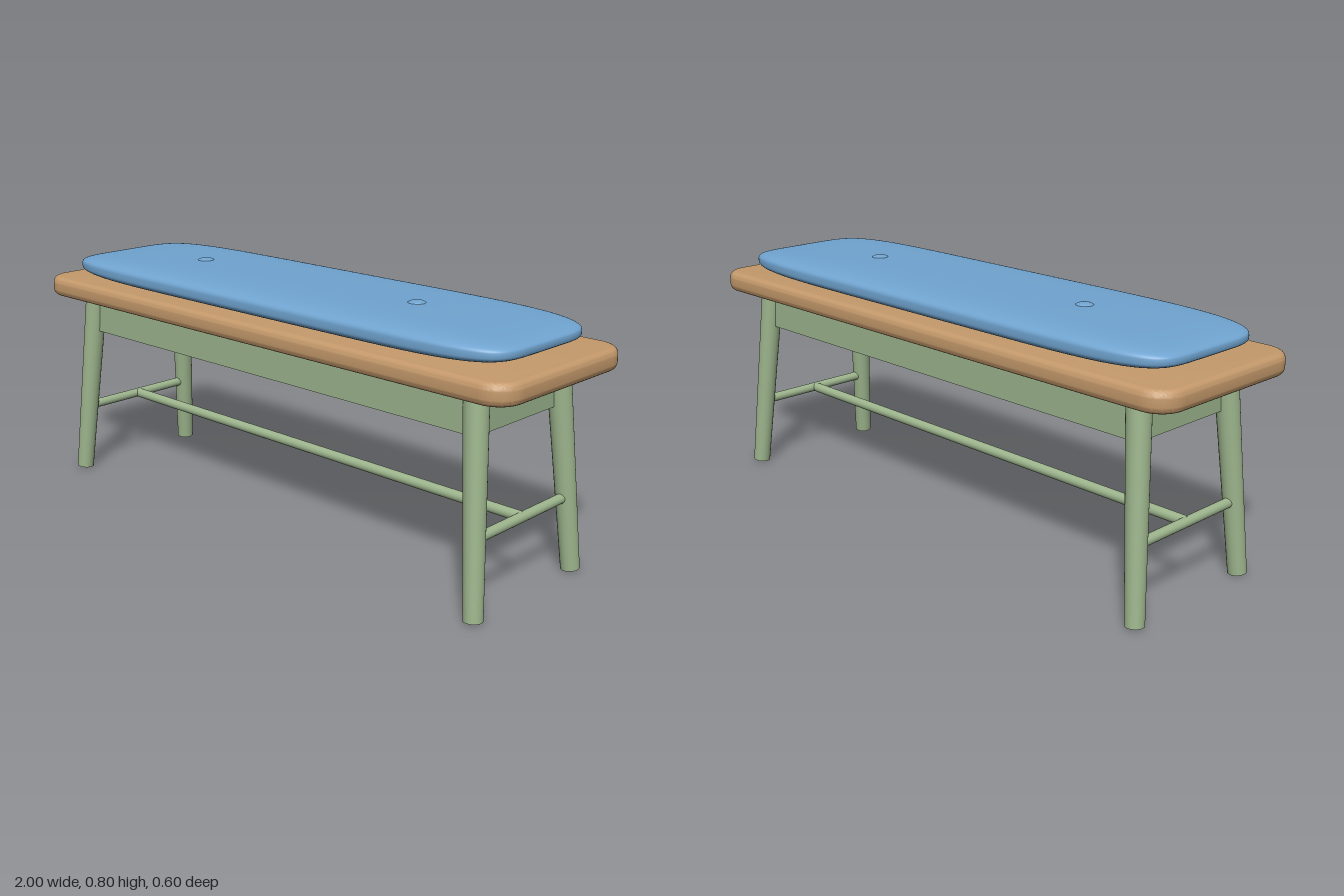
import * as THREE from 'three';
import { mergeVertices, toCreasedNormals } from 'three/addons/utils/BufferGeometryUtils.js';

const material = (name, color) => {
  const m = new THREE.MeshStandardMaterial({ color });
  m.name = name;
  return m;
};

// Rounded rectangular slab with softly rolled edges, lying flat
function slabGeometry(width, depth, bottom, height, corner, roll) {
  const x = width / 2 - roll, z = depth / 2 - roll, r = corner - roll;
  const s = new THREE.Shape();
  s.absarc(x - r, z - r, r, 0, Math.PI / 2);
  s.absarc(-x + r, z - r, r, Math.PI / 2, Math.PI);
  s.absarc(-x + r, -z + r, r, Math.PI, Math.PI * 1.5);
  s.absarc(x - r, -z + r, r, Math.PI * 1.5, Math.PI * 2);
  const geo = new THREE.ExtrudeGeometry(s, {
    depth: height - 2 * roll, bevelSize: roll, bevelThickness: roll, bevelSegments: 6, curveSegments: 12,
  });
  geo.rotateX(-Math.PI / 2).translate(0, bottom + roll, 0);
  return toCreasedNormals(geo, 0.7);
}

// Pillow: a sphere squared off in plan and, less strongly, in section
function pillowGeometry(halfX, halfY, halfZ, planPower, sectionPower) {
  const geo = new THREE.SphereGeometry(1, 128, 64);
  const p = geo.attributes.position;
  const bend = (v, n) => Math.sign(v) * Math.pow(Math.abs(v), 2 / n);
  for (let i = 0; i < p.count; i++) {
    const r = Math.hypot(p.getX(i), p.getZ(i));
    const c = r > 1e-6 ? p.getX(i) / r : 0, s = r > 1e-6 ? p.getZ(i) / r : 0;
    const ring = r > 1e-6 ? bend(r, sectionPower) : 0;
    p.setXYZ(i,
      halfX * ring * bend(c, planPower),
      halfY * bend(p.getY(i), sectionPower),
      halfZ * ring * bend(s, planPower));
  }
  geo.deleteAttribute('uv');
  geo.deleteAttribute('normal');
  const merged = mergeVertices(geo, 1e-5);
  merged.computeVertexNormals();
  return merged;
}

export function createModel() {
  const group = new THREE.Group();
  const wood = material('warm wood', 0xc4996b);
  const paint = material('sage paint', 0x9cb48c);
  const fabric = material('blue fabric', 0x70a4d0);

  const add = (name, geometry, mat, x = 0, y = 0, z = 0) => {
    const mesh = new THREE.Mesh(geometry, mat);
    mesh.name = name;
    mesh.position.set(x, y, z);
    group.add(mesh);
    return mesh;
  };

  // Round bar between two points
  const bar = (name, from, to, r0, r1) => {
    const dir = to.clone().sub(from);
    const mesh = add(name, new THREE.CylinderGeometry(r1, r0, dir.length(), 32), paint);
    mesh.position.copy(from).add(to).multiplyScalar(0.5);
    mesh.quaternion.setFromUnitVectors(new THREE.Vector3(0, 1, 0), dir.normalize());
  };
  const v = (x, y, z) => new THREE.Vector3(x, y, z);

  // Seat, cushion and tufting buttons
  add('seat', slabGeometry(2, 0.6, 0.643, 0.067, 0.085, 0.022), wood);
  add('cushion', pillowGeometry(0.93, 0.0435, 0.267, 6, 3.4), fabric, 0, 0.7535, 0);
  for (const side of [-1, 1]) {
    const button = add('cushionButton', new THREE.SphereGeometry(0.028, 32, 16), fabric, side * 0.465, 0.794, 0);
    button.scale.y = 0.32;
  }

  // Splayed tapered legs
  for (const sx of [-1, 1]) {
    for (const sz of [-1, 1]) {
      bar('leg', v(sx * 0.89, 0.003, sz * 0.242), v(sx * 0.834, 0.655, sz * 0.194), 0.029, 0.037);
    }
  }

  // Aprons under the seat
  for (const s of [-1, 1]) {
    add('longApron', new THREE.BoxGeometry(1.66, 0.13, 0.025), paint, 0, 0.585, s * 0.195);
    add('endApron', new THREE.BoxGeometry(0.025, 0.13, 0.38), paint, s * 0.833, 0.585, 0);
  }

  // Stretchers in an H
  for (const s of [-1, 1]) {
    bar('endStretcher', v(s * 0.87, 0.235, -0.222), v(s * 0.87, 0.235, 0.222), 0.0155, 0.0155);
  }
  bar('longStretcher', v(-0.87, 0.235, 0), v(0.87, 0.235, 0), 0.0165, 0.0165);

  return group;
}
